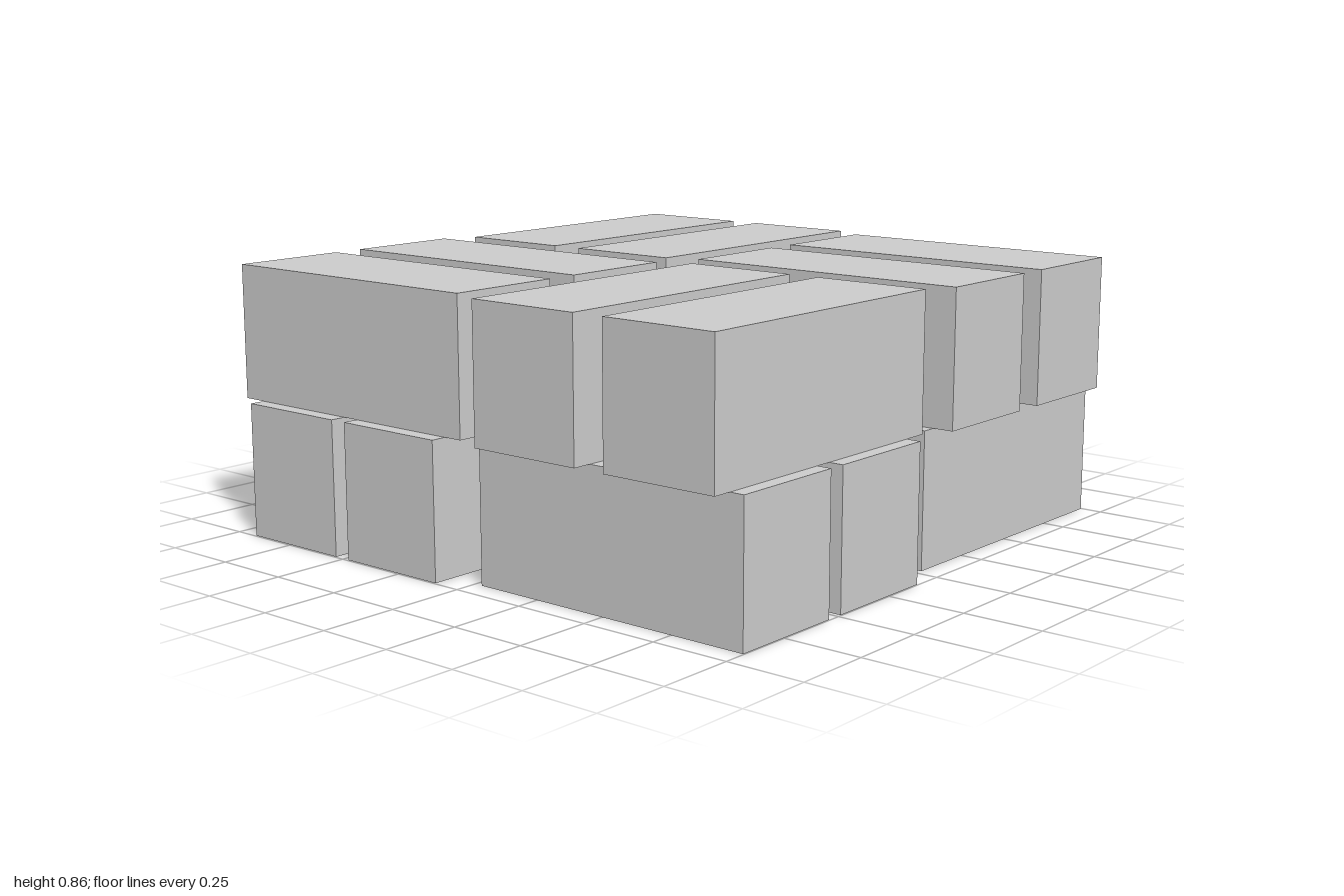
import * as THREE from 'three';

const LENGTH = 0.97, HEIGHT = 0.43, WIDTH = 0.385;

// Hollow block: a box without its underside
function blockGeometry() {
  const geo = new THREE.BoxGeometry(LENGTH, HEIGHT, WIDTH);
  const index = Array.from(geo.index.array);
  index.splice(18, 6);
  geo.setIndex(index);
  geo.clearGroups();
  return geo;
}

export function createModel() {
  const model = new THREE.Group();
  model.name = 'wovenBlockStack';
  const geo = blockGeometry();
  const mat = new THREE.MeshStandardMaterial({ color: 0xcccccc, flatShading: true, side: THREE.DoubleSide });

  // Each pair: layer, direction of the long side, its centre, and the centres across
  const pairs = [
    { name: 'backRightLower', layer: 0, along: 'x', mid: -0.515, across: [-0.728, -0.287] },
    { name: 'backRightUpper', layer: 1, along: 'z', mid: -0.515, across: [-0.758, -0.267] },
    { name: 'backLeftLower', layer: 0, along: 'z', mid: -0.51, across: [0.295, 0.737] },
    { name: 'backLeftUpper', layer: 1, along: 'x', mid: 0.512, across: [-0.753, -0.263] },
    { name: 'frontRightLower', layer: 0, along: 'z', mid: 0.51, across: [-0.728, -0.287] },
    { name: 'frontRightUpper', layer: 1, along: 'x', mid: -0.515, across: [0.263, 0.753] },
    { name: 'frontLeftLower', layer: 0, along: 'x', mid: 0.512, across: [0.293, 0.733] },
    { name: 'frontLeftUpper', layer: 1, along: 'z', mid: 0.505, across: [0.267, 0.758] },
  ];

  for (const { name, layer, along, mid, across } of pairs) {
    const pair = new THREE.Group();
    pair.name = name + 'Pair';
    across.forEach((c, i) => {
      const block = new THREE.Mesh(geo, mat);
      block.name = `${name}Block${i + 1}`;
      const y = HEIGHT * (layer + 0.5);
      if (along === 'x') {
        block.position.set(mid, y, c);
      } else {
        block.position.set(c, y, mid);
        block.rotation.y = Math.PI / 2;
      }
      pair.add(block);
    });
    model.add(pair);
  }
  return model;
}
